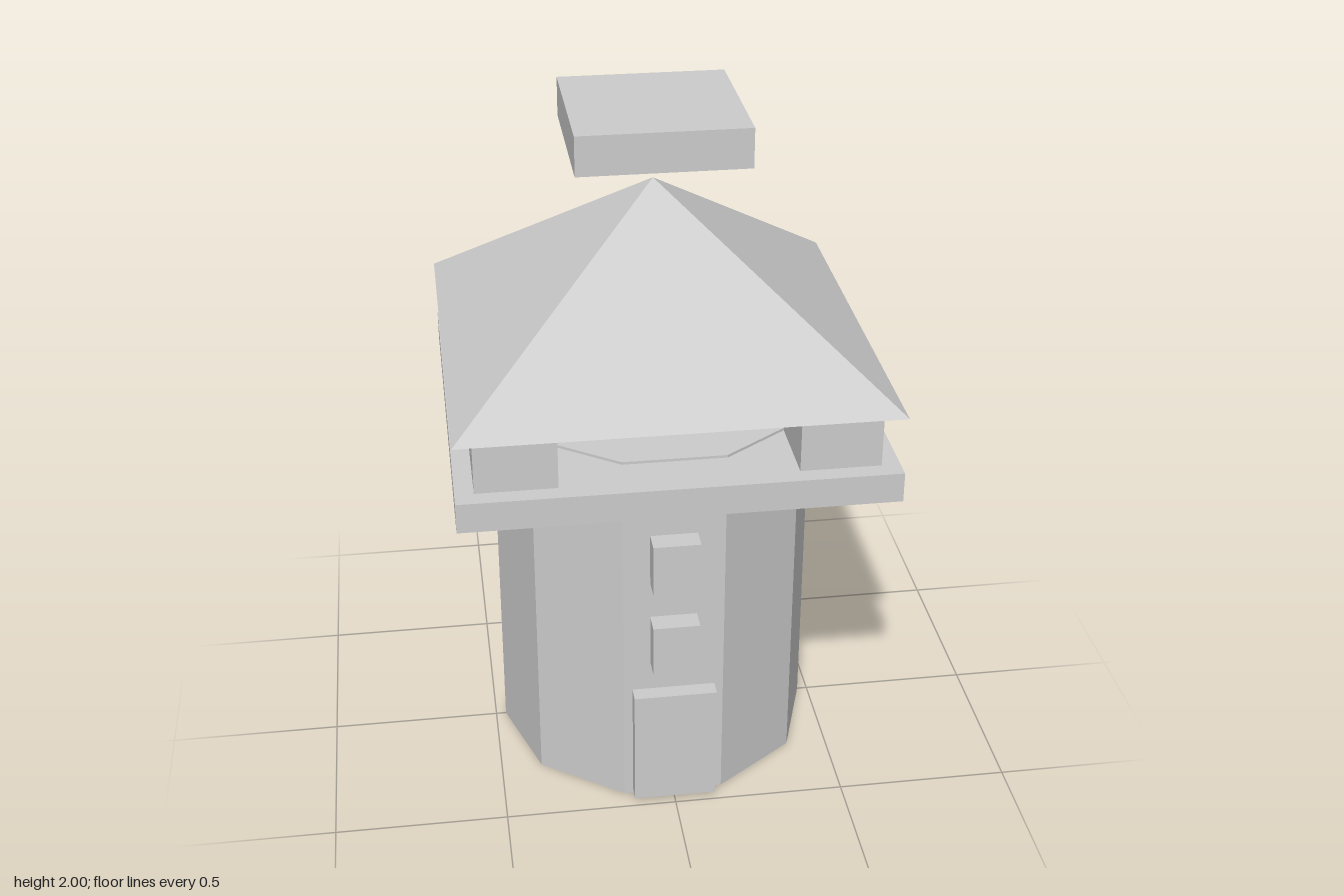
import * as THREE from 'three';

export function createModel() {
  const model = new THREE.Group();
  model.name = 'watchtower';
  const stone = new THREE.MeshStandardMaterial({ color: 0xcccccc, flatShading: true });
  stone.name = 'pale grey stone';

  const add = (name, geometry, x, y, z) => {
    const mesh = new THREE.Mesh(geometry, stone);
    mesh.name = name;
    mesh.position.set(x, y, z);
    model.add(mesh);
    return mesh;
  };
  // Box given by its lower and upper limits on each axis
  const box = (name, [x0, x1], [y0, y1], [z0, z1]) =>
    add(name, new THREE.BoxGeometry(x1 - x0, y1 - y0, z1 - z0),
      (x0 + x1) / 2, (y0 + y1) / 2, (z0 + z1) / 2);

  // Ten-sided shaft, with a flat side facing front; its top just clears the platform
  const shaft = new THREE.CylinderGeometry(0.47, 0.47, 1.142, 10, 1, false, Math.PI / 10);
  shaft.scale(1, 1, 0.985);
  add('towerShaft', shaft, 0, 0.571, 0);

  // Door and windows on the front side
  box('door', [-0.12, 0.12], [0.015, 0.38], [0.42, 0.487]);
  box('lowerWindow', [-0.068, 0.066], [0.475, 0.63], [0.42, 0.503]);
  box('upperWindow', [-0.068, 0.066], [0.745, 0.9], [0.42, 0.503]);

  // Lookout platform and its corner posts
  box('platform', [-0.602, 0.602], [1.047, 1.134], [-0.59, 0.59]);
  for (const sx of [-1, 1]) {
    for (const sz of [-1, 1]) {
      add('cornerPost', new THREE.BoxGeometry(0.224, 0.167, 0.224),
        sx * 0.438, 1.2175, sz * 0.427);
    }
  }

  // Lintel between the front posts
  box('frontLintel', [-0.33, 0.33], [1.23, 1.3], [0.39, 0.46]);

  // Pyramid roof with a closed base
  const roof = new THREE.ConeGeometry(Math.SQRT2, 0.483, 4, 1, false, Math.PI / 4);
  roof.scale(0.604, 1, 0.59);
  add('roof', roof, 0, 1.5415, 0);

  // Square cap floating above the peak
  box('cap', [-0.238, 0.236], [1.888, 2], [-0.241, 0.239]);

  return model;
}
